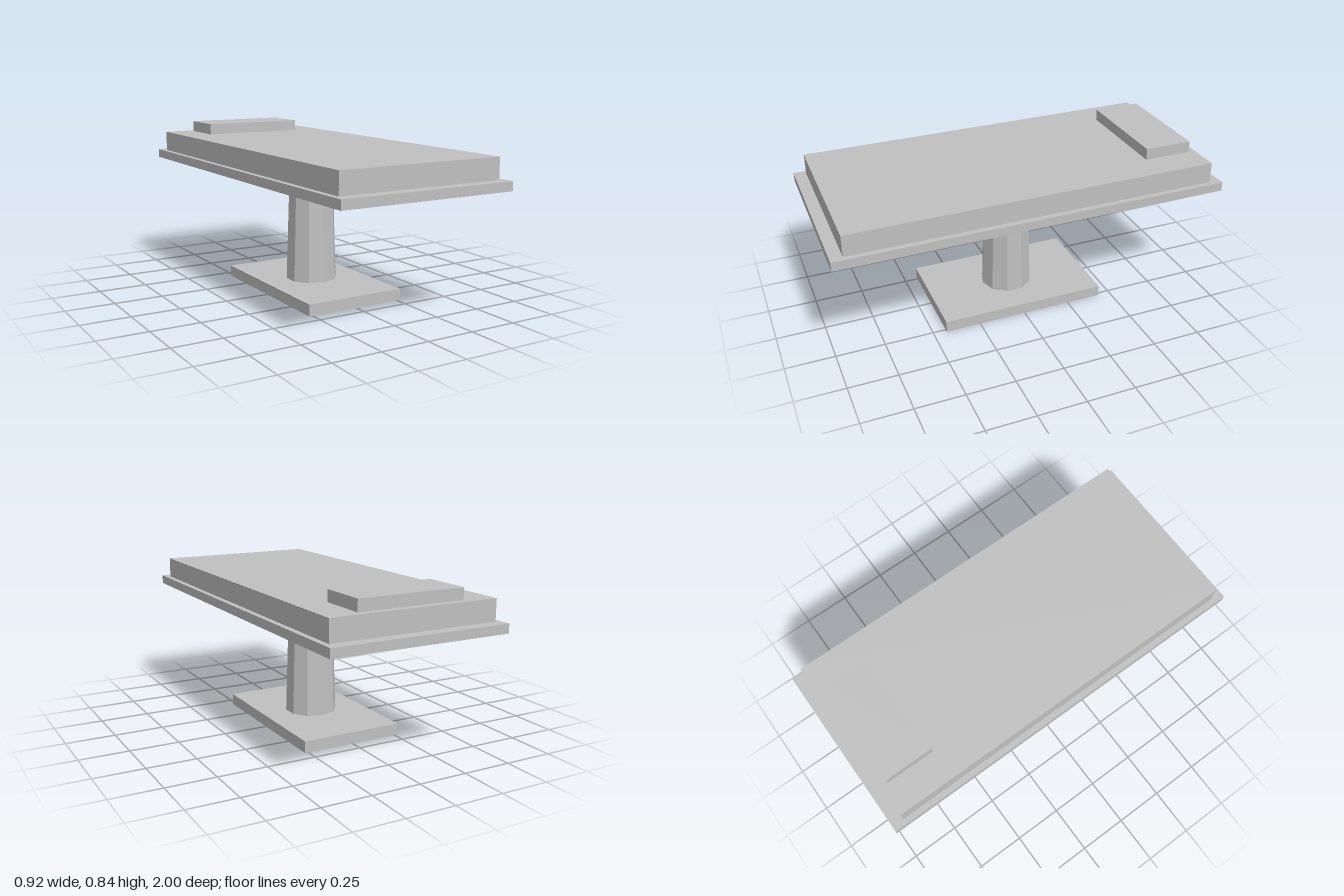
import * as THREE from 'three';

export function createModel() {
  const group = new THREE.Group();
  const grey = new THREE.MeshStandardMaterial({ color: 0xc0c0c0 });
  grey.name = 'grey';
  // faceted variant of the same surface geometry comes from un-indexed normals
  const add = (name, geometry, y, z = 0) => {
    const mesh = new THREE.Mesh(geometry, grey);
    mesh.name = name;
    mesh.position.set(0, y, z);
    group.add(mesh);
  };
  // box between two heights
  const slab = (name, width, depth, y0, y1, z) =>
    add(name, new THREE.BoxGeometry(width, y1 - y0, depth), (y0 + y1) / 2, z);

  slab('base', 0.536, 0.864, 0, 0.059);

  // tapered ten-sided pedestal with flat facets
  const column = new THREE.CylinderGeometry(0.116, 0.134, 0.567, 10).toNonIndexed();
  column.computeVertexNormals();
  add('pedestal', column, 0.059 + 0.567 / 2);

  slab('tableFrame', 0.92, 2, 0.626, 0.672);
  slab('mattress', 0.864, 1.88, 0.672, 0.779);
  slab('pillow', 0.55, 0.248, 0.779, 0.837, -0.779);

  return group;
}
